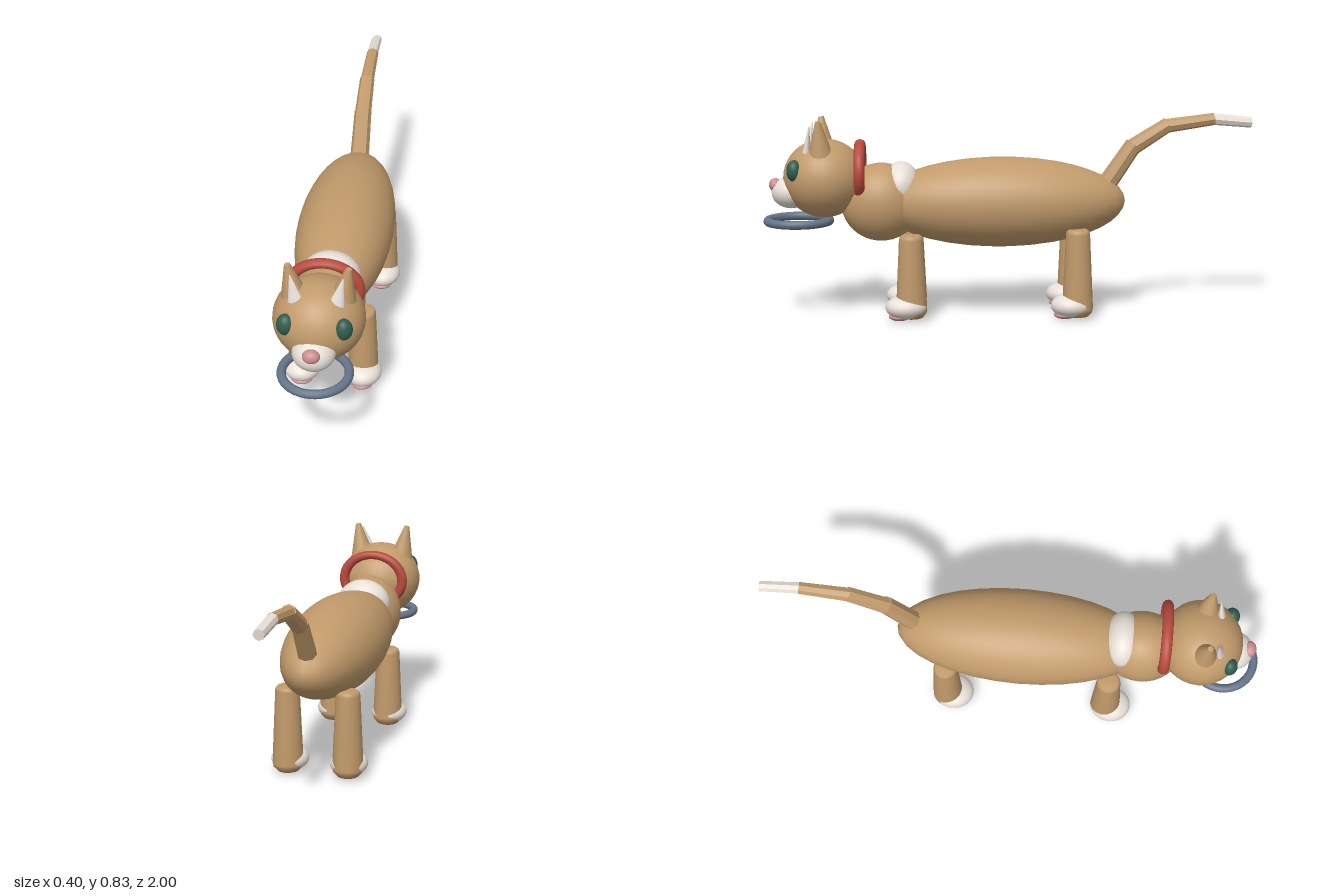
import * as THREE from 'three';

const mat = (name, color) => {
  const m = new THREE.MeshStandardMaterial({ color });
  m.name = name;
  return m;
};

export function createModel() {
  const cat = new THREE.Group();
  cat.name = 'cat';
  const tan = mat('tan fur', 0xc19a6b);
  const tanFlat = tan;
  const white = mat('white fur', 0xe8e0d8);
  const pink = mat('pink skin', 0xcc8f8f);
  const green = mat('green eye', 0x2f5d50);
  const red = mat('red collar', 0xb84a3e);
  const blue = mat('slate ring', 0x66758a);

  const add = (name, geometry, material, parent = cat) => {
    const mesh = new THREE.Mesh(geometry, material);
    mesh.name = name;
    parent.add(mesh);
    return mesh;
  };

  const ellipsoid = (name, material, pos, radii) => {
    const g = new THREE.SphereGeometry(1, 32, 20);
    g.scale(...radii);
    g.translate(...pos);
    return add(name, g, material);
  };

  // Tapered rod between two points; squash flattens it front to back
  const rod = (name, material, from, to, r0, r1, sides, { flat = false, squash = 1 } = {}) => {
    const a = new THREE.Vector3(...from), b = new THREE.Vector3(...to);
    const dir = b.clone().sub(a);
    let g = new THREE.CylinderGeometry(r1, r0, dir.length(), sides);
    g.scale(1, 1, squash);
    if (flat) {
      g = g.toNonIndexed();
      g.computeVertexNormals();
    }
    const mesh = add(name, g, material);
    mesh.position.copy(a).add(b).multiplyScalar(0.5);
    mesh.quaternion.setFromUnitVectors(new THREE.Vector3(0, 1, 0), dir.normalize());
    return mesh;
  };

  // Torso and head
  ellipsoid('body', tan, [0, 0.467, 0.03], [0.195, 0.184, 0.51]);
  ellipsoid('chest', tan, [0, 0.47, 0.52], [0.142, 0.16, 0.165]);
  ellipsoid('shoulderPatch', white, [0, 0.535, 0.44], [0.115, 0.1, 0.08]);
  ellipsoid('head', tan, [0, 0.57, 0.75], [0.173, 0.16, 0.167]);
  ellipsoid('muzzle', white, [0, 0.513, 0.885], [0.081, 0.066, 0.08]);
  ellipsoid('nose', pink, [0, 0.543, 0.949], [0.033, 0.027, 0.026]);

  // Collar around the back of the head
  const collar = new THREE.TorusGeometry(0.131, 0.022, 12, 40);
  collar.scale(1, 0.84, 1);
  collar.translate(0, 0.598, 0.605);
  add('collar', collar, red);

  // Flat ring below the muzzle
  const ring = new THREE.TorusGeometry(0.126, 0.0175, 12, 40);
  ring.rotateX(Math.PI / 2);
  ring.translate(0, 0.395, 0.857);
  add('toyRing', ring, blue);

  // Leg profile with softened rims, turned round its axis
  const legGeometry = (top) => new THREE.LatheGeometry([
    [0, 0.012], [0.044, 0.012], [0.06, 0.03], [0.063, 0.045],
    [0.049, top - 0.018], [0.046, top - 0.007], [0.038, top], [0, top],
  ].map(([x, y]) => new THREE.Vector2(x, y)), 24);

  for (const [side, s] of [['left', 1], ['right', -1]]) {
    // Face
    ellipsoid(side + 'Eye', green, [s * 0.106, 0.612, 0.864], [0.034, 0.044, 0.031]);
    rod(side + 'Ear', tan, [s * 0.086, 0.65, 0.757], [s * 0.112, 0.81, 0.766], 0.056, 0.011, 20);
    rod(side + 'InnerEar', white, [s * 0.075, 0.685, 0.815], [s * 0.097, 0.79, 0.802],
      0.03, 0.002, 16, { squash: 0.55 });

    // Legs, paws and toe pads
    for (const [end, x, z, top, pawShift] of [
      ['Front', 0.121, 0.4, 0.35, 0.022],
      ['Back', 0.125, -0.275, 0.368, 0.025],
    ]) {
      const leg = add(side + end + 'Leg', legGeometry(top), tan);
      leg.position.set(s * x, 0, z);
      const pz = z + pawShift;
      ellipsoid(side + end + 'Paw', white, [s * 0.123, 0.055, pz], [0.076, 0.049, 0.084]);
      ellipsoid(side + end + 'Pad', pink, [s * 0.122, 0.017, pz + 0.026], [0.045, 0.017, 0.045]);
    }
  }

  // Tail in faceted segments, thinning to a white tip
  const tail = [
    [[0, 0.53, -0.4], [0, 0.7, -0.515], 0.04, 0.036],
    [[0, 0.685, -0.505], [0, 0.78, -0.655], 0.035, 0.031],
    [[0, 0.773, -0.64], [0, 0.802, -0.845], 0.029, 0.025],
    [[0, 0.802, -0.835], [0, 0.787, -0.999], 0.024, 0.022],
  ];
  tail.forEach(([from, to, r0, r1], i) => {
    const tip = i === tail.length - 1;
    rod(tip ? 'tailTip' : 'tailSegment' + (i + 1), tip ? white : tanFlat, from, to, r0, r1, 8, { flat: true });
  });

  return cat;
}
